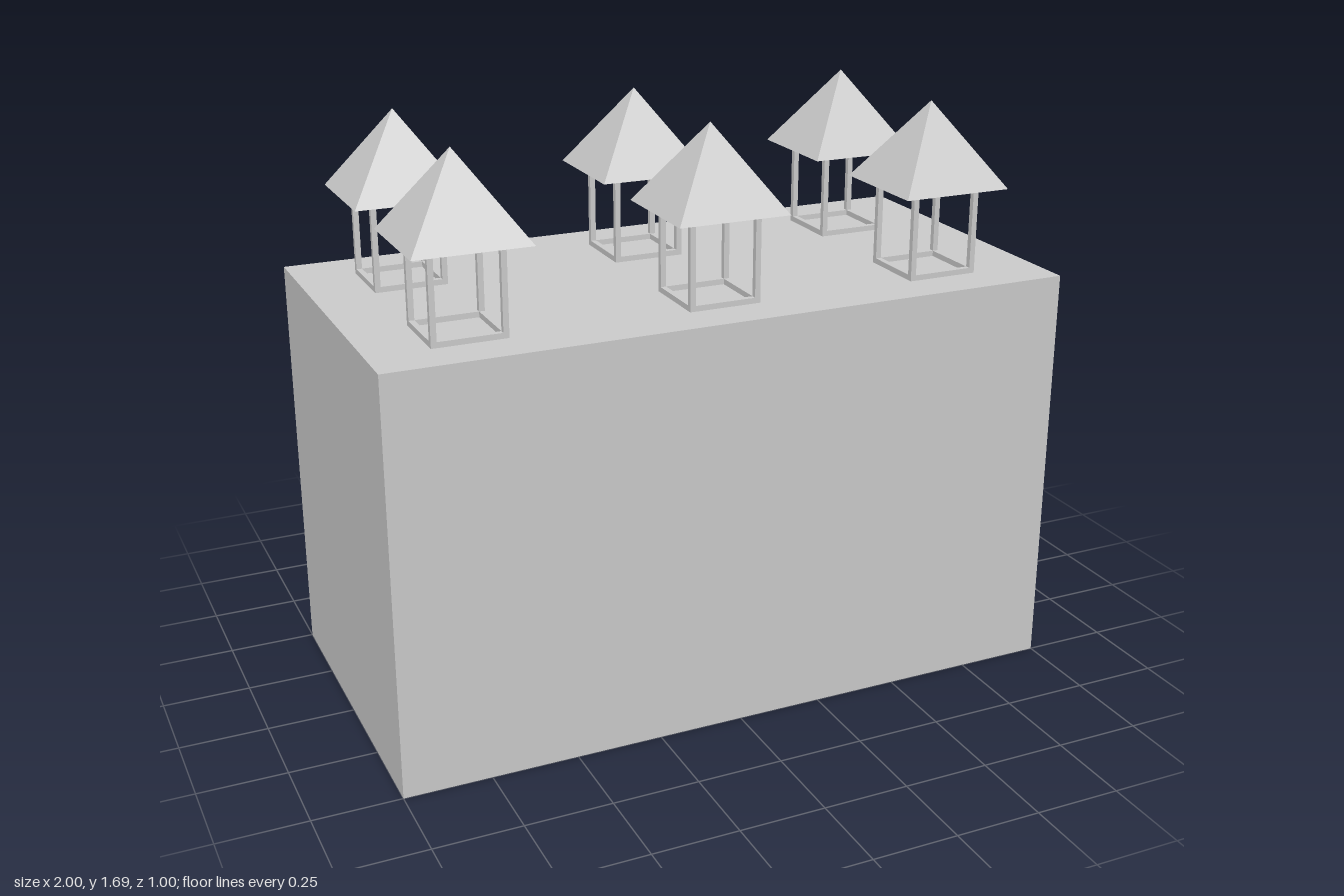
import * as THREE from 'three';

const grey = new THREE.MeshStandardMaterial({ color: 0xcccccc, flatShading: true, side: THREE.DoubleSide });

function box(name, w, h, d, x, y, z) {
  const mesh = new THREE.Mesh(new THREE.BoxGeometry(w, h, d), grey);
  mesh.name = name;
  mesh.position.set(x, y, z);
  return mesh;
}

// Open square frame carrying a pyramid roof
function makeTurret() {
  const turret = new THREE.Group();
  turret.name = 'turret';
  const size = 0.21, height = 0.253, bar = 0.016;
  const off = (size - bar) / 2, inner = size - 2 * bar;

  for (const sx of [-1, 1])
    for (const sz of [-1, 1])
      turret.add(box('post', bar, height, bar, sx * off, height / 2, sz * off));

  for (const [name, y] of [['bottomRail', bar / 2], ['topRail', height - bar / 2]])
    for (const s of [-1, 1]) {
      turret.add(box(name, inner, bar, bar, 0, y, s * off));
      turret.add(box(name, bar, bar, inner, s * off, y, 0));
    }

  // Four-sided roof, turned so its eaves line up with the axes
  const roofHeight = 0.235;
  const roof = new THREE.Mesh(new THREE.ConeGeometry(0.163 * Math.SQRT2, roofHeight, 4).rotateY(Math.PI / 4), grey);
  roof.name = 'roof';
  roof.position.y = height + roofHeight / 2;
  turret.add(roof);
  return turret;
}

export function createModel() {
  const model = new THREE.Group();
  model.name = 'blockWithTurrets';

  // Main block: a hollow shell, open underneath
  const block = box('block', 2, 1.2, 1, 0, 0.6, 0);
  const index = Array.from(block.geometry.index.array);
  index.splice(18, 6); // drop the bottom face
  block.geometry.setIndex(index);
  block.geometry.clearGroups();
  model.add(block);

  // Two rows of three turrets
  for (const z of [-0.248, 0.267])
    for (const x of [-0.722, 0, 0.687]) {
      const turret = makeTurret();
      turret.position.set(x, 1.2, z);
      model.add(turret);
    }
  return model;
}
